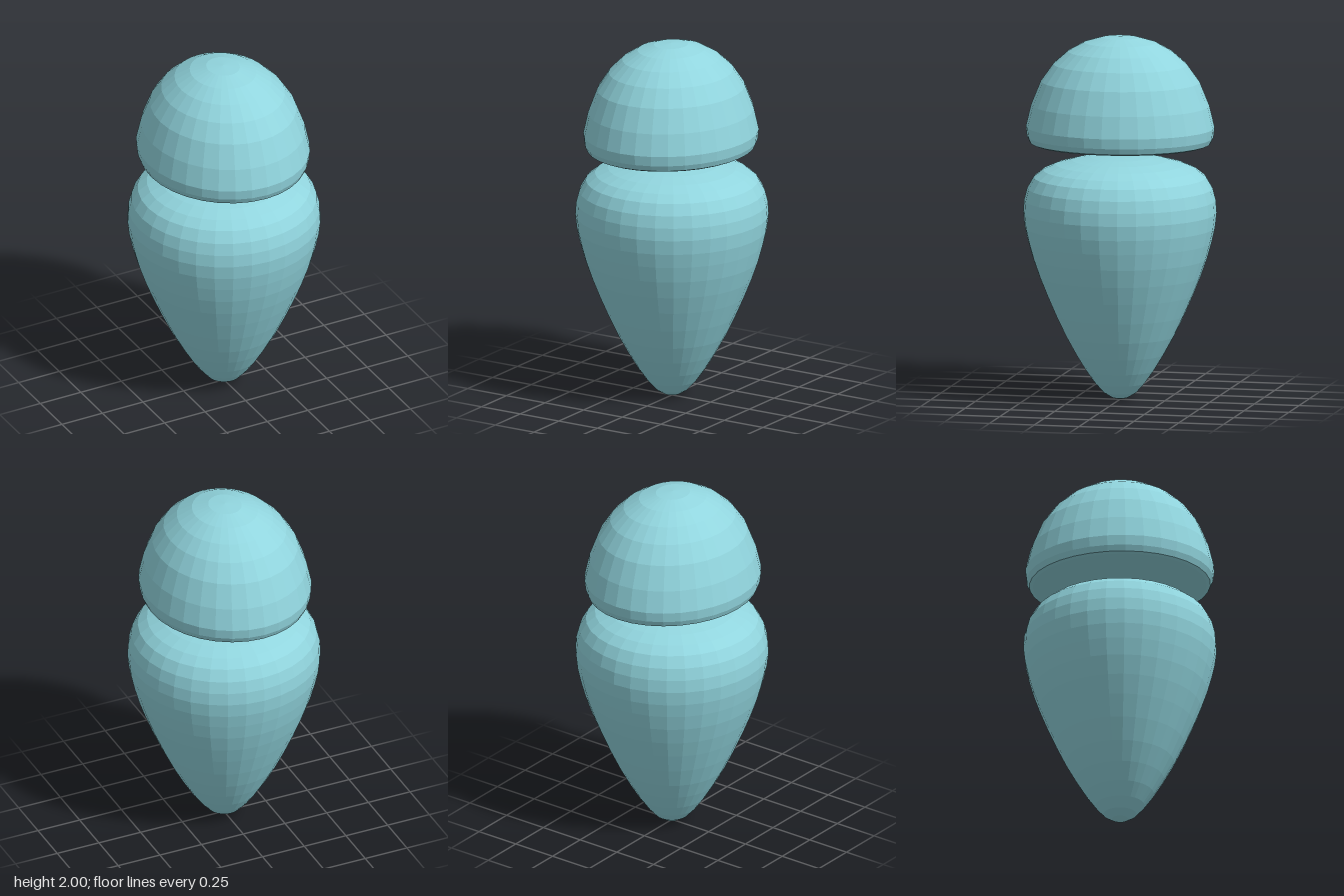
import * as THREE from 'three';

const SIDES = 32;
const material = new THREE.MeshStandardMaterial({ color: 0x91d5de, flatShading: true });

// Turn a [radius, height] profile, listed from bottom to top
function turned(name, profile) {
  const points = profile.map(([r, y]) => new THREE.Vector2(r, y));
  const mesh = new THREE.Mesh(new THREE.LatheGeometry(points, SIDES), material);
  mesh.name = name;
  return mesh;
}

export function createModel() {
  const model = new THREE.Group();
  model.name = 'figure';

  // Egg-shaped body: rounded point below, broad flattened shoulders above
  model.add(turned('body', [
    [0, 0], [0.045, 0.012], [0.09, 0.04], [0.135, 0.09], [0.185, 0.16],
    [0.24, 0.25], [0.295, 0.35], [0.35, 0.465], [0.4, 0.58], [0.44, 0.68],
    [0.475, 0.78], [0.5, 0.87], [0.518, 0.95], [0.527, 1.03], [0.522, 1.1],
    [0.505, 1.165], [0.47, 1.225], [0.42, 1.265], [0.35, 1.295],
    [0.26, 1.318], [0.16, 1.333], [0.08, 1.339], [0, 1.34],
  ]));

  // Floating dome head with a rounded rim and flat underside, narrower across x
  const head = turned('head', [
    [0, 1.405], [0.475, 1.405], [0.495, 1.413], [0.51, 1.445], [0.517, 1.5],
    [0.488, 1.62], [0.435, 1.75], [0.367, 1.845], [0.288, 1.915],
    [0.198, 1.965], [0.1, 1.993], [0, 2],
  ]);
  head.scale.x = 0.893;
  head.position.x = -0.006;
  model.add(head);

  return model;
}
